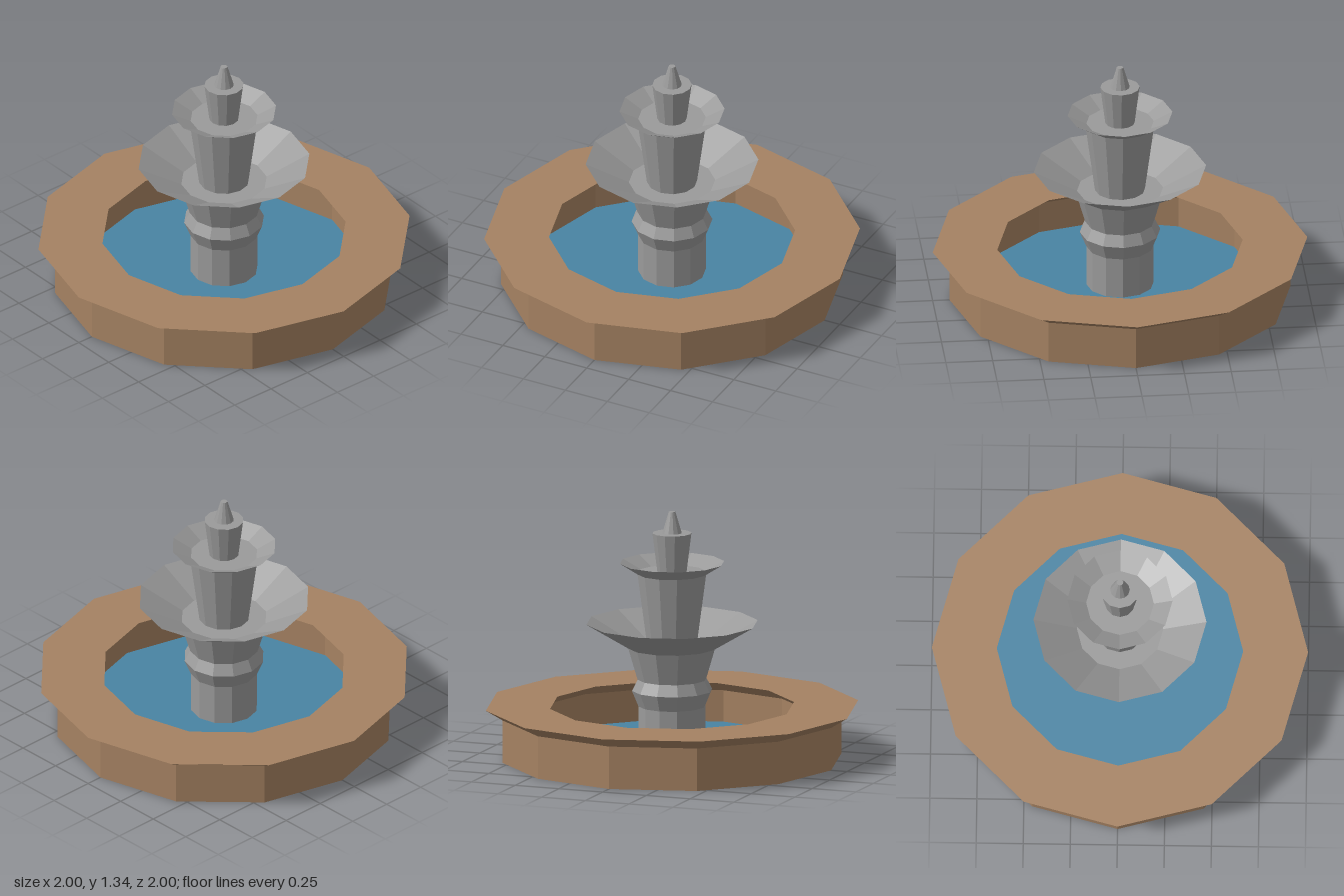
import * as THREE from 'three';

const SIDES = 12;

export function createModel() {
  const group = new THREE.Group();
  const mat = (name, color) => {
    const m = new THREE.MeshStandardMaterial({ color, flatShading: true });
    m.name = name;
    return m;
  };
  const clay = mat('brown clay', 0xa58262);
  const stone = mat('grey stone', 0x9a9a9a);
  const water = mat('blue water', 0x4984a3);

  const add = (name, geometry, material) => {
    const mesh = new THREE.Mesh(geometry, material);
    mesh.name = name;
    group.add(mesh);
    return mesh;
  };
  // Twelve-sided turned part; profile of [radius, height] runs up the outside
  const turned = (name, profile, material) => add(
    name,
    new THREE.LatheGeometry(profile.map(([r, y]) => new THREE.Vector2(r, y)), SIDES),
    material,
  );

  // Basin: underside, outer wall, flared rim, undercut inner wall
  turned('basin', [
    [0, 0], [0.91, 0], [0.91, 0.23], [1, 0.285],
    [0.655, 0.285], [0.745, 0.23], [0.745, 0.05],
  ], clay);

  // Water surface
  const pool = new THREE.CircleGeometry(0.745, SIDES);
  pool.rotateX(-Math.PI / 2);
  add('water', pool, water).position.y = 0.06;

  // Pedestal with a collar, widening to carry the lower bowl
  turned('pedestal', [
    [0.18, 0.05], [0.18, 0.285], [0.215, 0.37], [0.185, 0.43], [0.235, 0.6],
  ], stone);

  // Dished bowls with a sharp lip
  turned('lowerBowl', [[0.235, 0.6], [0.46, 0.735], [0.23, 0.615], [0, 0.615]], stone);
  turned('middleColumn', [[0.133, 0.61], [0.185, 1.0]], stone);
  turned('upperBowl', [[0.185, 1.0], [0.28, 1.06], [0.18, 1.01], [0, 1.01]], stone);

  // Top column and finial
  turned('topColumn', [[0.078, 1.005], [0.105, 1.22], [0, 1.22]], stone);
  turned('finial', [[0.052, 1.22], [0.018, 1.335], [0, 1.335]], stone);

  return group;
}
